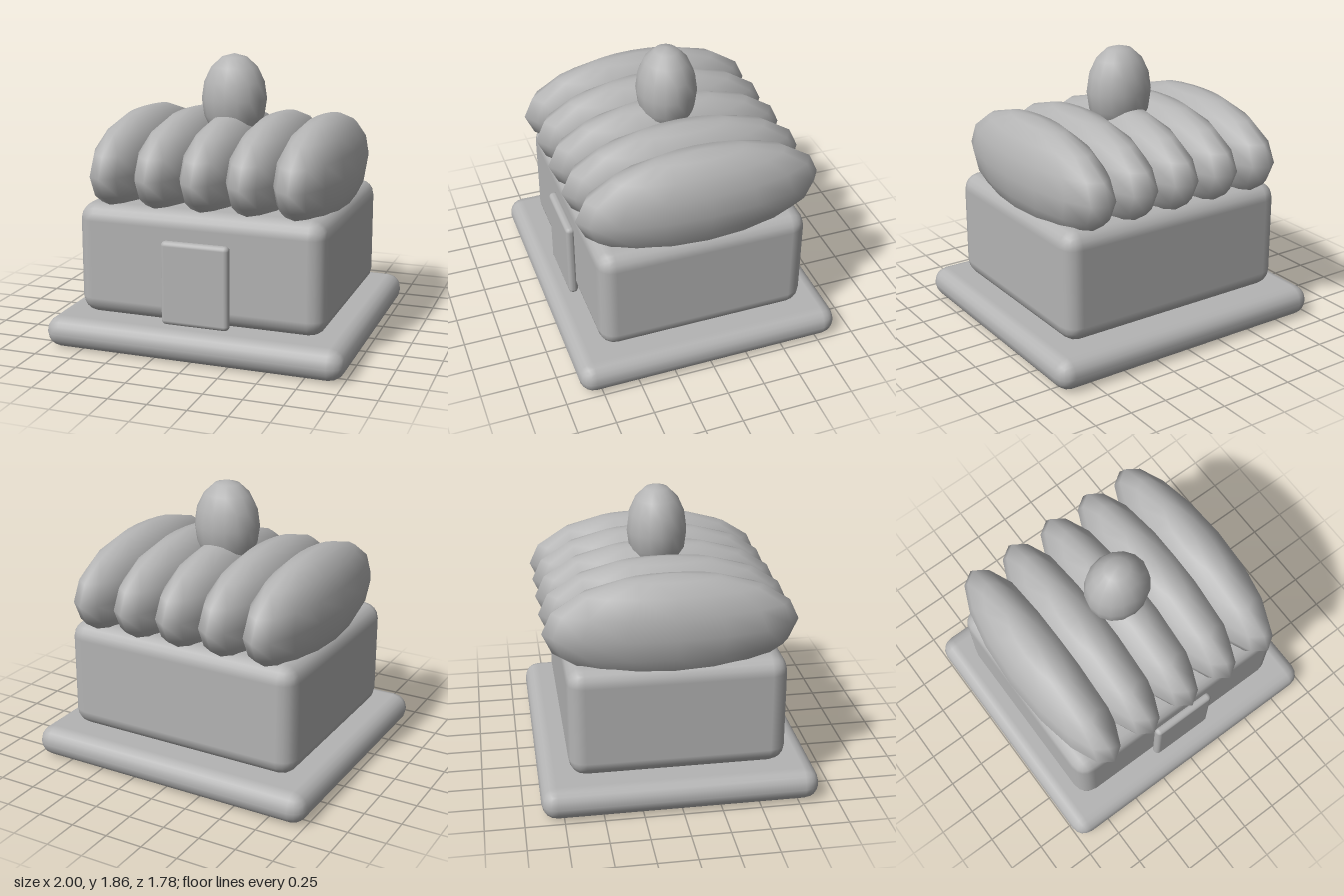
import * as THREE from 'three';
import { RoundedBoxGeometry } from 'three/addons/geometries/RoundedBoxGeometry.js';

export function createModel() {
  const model = new THREE.Group();
  model.name = 'domedHouse';
  const stone = new THREE.MeshStandardMaterial({ color: 0xb4b4b4 });
  stone.name = 'plain grey';

  function add(name, geometry, x, y, z) {
    const mesh = new THREE.Mesh(geometry, stone);
    mesh.name = name;
    mesh.position.set(x, y, z);
    model.add(mesh);
  }

  // Box with bevelled edges, given its extents
  const block = (w, h, d, r) => new RoundedBoxGeometry(w, h, d, 2, r);

  // Coarse smooth ellipsoid from its three radii
  const ellipsoid = (rx, ry, rz) => new THREE.SphereGeometry(1, 16, 8).scale(rx, ry, rz);

  add('basePlate', block(2, 0.205, 1.78, 0.1), 0, 0.1025, 0);
  add('body', block(1.66, 0.74, 1.4, 0.11), 0, 0.57, 0);
  add('door', block(0.455, 0.55, 0.065, 0.03), 0, 0.48, 0.717);

  // Row of five long roof lobes running front to back
  for (let i = -2; i <= 2; i++) {
    add('roofLobe' + (i + 3), ellipsoid(0.237, 0.35, 0.81), i * 0.31, 1.13, -0.022);
  }

  // Egg-shaped finial on the middle lobe
  add('finial', ellipsoid(0.22, 0.3, 0.197), 0, 1.56, -0.022);

  return model;
}
